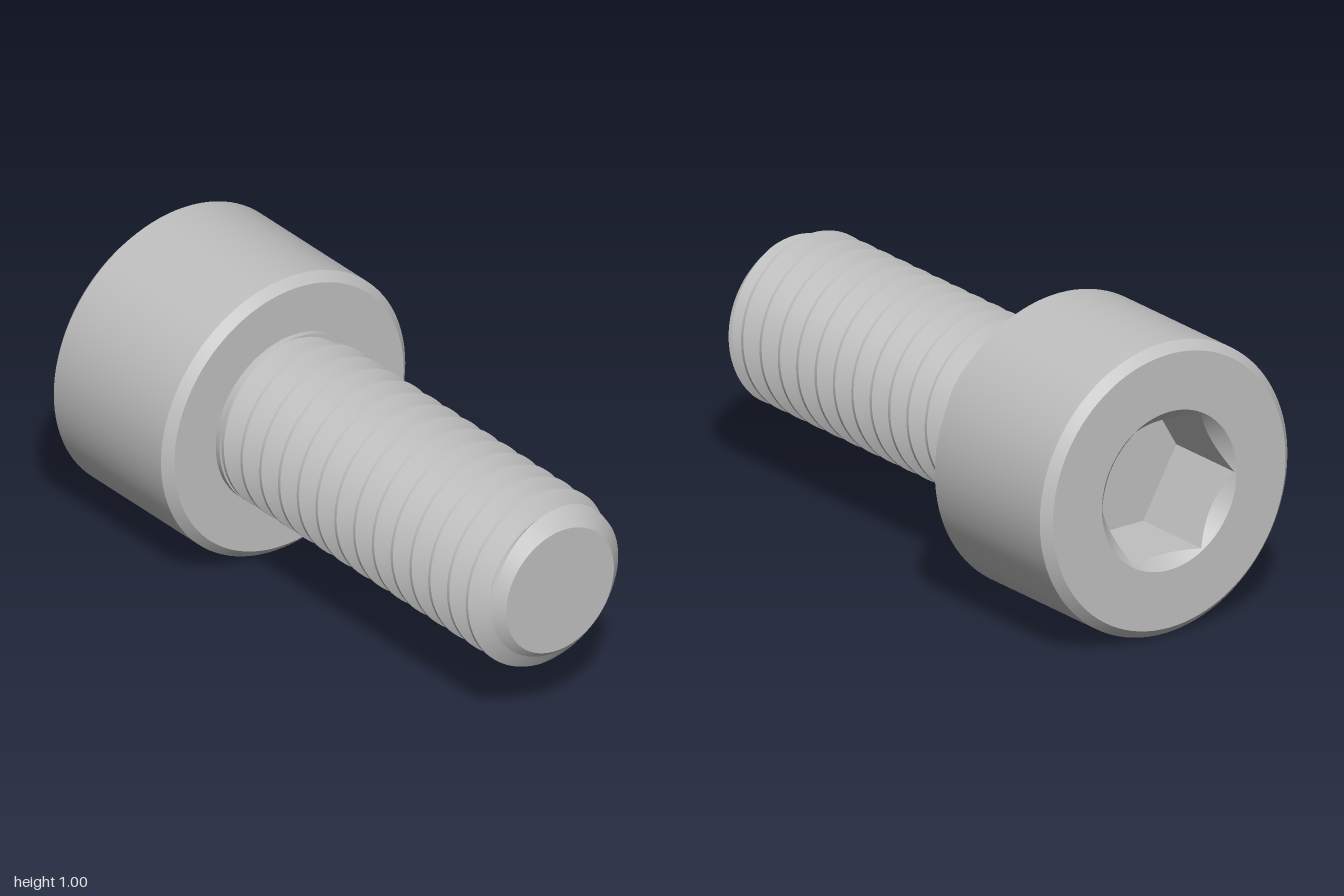
import * as THREE from 'three';
import { toCreasedNormals } from 'three/addons/utils/BufferGeometryUtils.js';

const SEG = 96;
const steel = new THREE.MeshStandardMaterial({ color: 0xc0c0c0 });
steel.name = 'steel grey';

// Skin wrapped round the z axis: at(angle, row) returns [radius, z]
function wrap(name, rows, at) {
  const pos = [];
  const point = (i, j) => {
    const a = (i / SEG) * Math.PI * 2;
    const [r, z] = at(a, j);
    return new THREE.Vector3(r * Math.cos(a), r * Math.sin(a), z);
  };
  const tri = new THREE.Triangle();
  const add = (a, b, c) => {
    if (tri.set(a, b, c).getArea() < 1e-9) return; // skip collapsed corners
    for (const v of [a, b, c]) pos.push(v.x, v.y, v.z);
  };
  for (let j = 0; j < rows - 1; j++) {
    for (let i = 0; i < SEG; i++) {
      const a = point(i, j), b = point(i + 1, j);
      const c = point(i + 1, j + 1), d = point(i, j + 1);
      add(a, b, c);
      add(a, c, d);
    }
  }
  const geometry = new THREE.BufferGeometry();
  geometry.setAttribute('position', new THREE.Float32BufferAttribute(pos, 3));
  const mesh = new THREE.Mesh(toCreasedNormals(geometry, 0.4), steel);
  mesh.name = name;
  return mesh;
}

// Head: chamfered cylinder, open where the socket enters
const RIM = 0.272;
function makeHead() {
  const outline = [[RIM, -1], [0.47, -1], [0.5, -0.97], [0.5, -0.42], [0.47, -0.39], [0, -0.39]];
  return wrap('head', outline.length, (a, j) => outline[j]);
}

// Hex socket with a conical lead-in and a flat floor
function makeSocket() {
  const apothem = 0.231, floor = -0.69;
  return wrap('hexSocket', 4, (a, j) => {
    const sector = Math.PI / 3;
    const fromFlat = (((a % sector) + sector) % sector) - sector / 2;
    const r = apothem / Math.cos(fromFlat);
    return [[0, floor], [r, floor], [r, -1 + (RIM - r)], [RIM, -1]][j];
  });
}

// Right-hand thread, trimmed by a conical tip
const PITCH = 0.0963, CREST = 0.3, ROOT = 0.237, START = -0.37, END = 1, CREST_Z = 0.85;
function threadRadius(a, z) {
  const turns = (z - CREST_Z) / PITCH - a / (Math.PI * 2);
  const away = Math.abs(turns - Math.round(turns)); // 0 on crest, 0.5 in root
  const t = THREE.MathUtils.clamp((away - 0.0625) / 0.375, 0, 1);
  return Math.min(CREST + (ROOT - CREST) * t, 0.22 + 1.1 * (END - z));
}
function makeThread() {
  const steps = [-0.0625, 0.0625, 0.1875, 0.3125, 0.4375, 0.5625, 0.6875, 0.8125];
  const firstTurn = -15, turns = 18;
  return wrap('thread', steps.length * turns, (a, j) => {
    const turn = firstTurn + Math.floor(j / steps.length) + steps[j % steps.length];
    const z = THREE.MathUtils.clamp(CREST_Z + PITCH * (turn + a / (Math.PI * 2)), START, END);
    return [threadRadius(a, z), z];
  });
}

export function createModel() {
  const model = new THREE.Group();
  model.name = 'socketHeadScrew';
  // Plain neck under the head and flat tip of the shank
  const neck = wrap('neck', 4, (a, j) => [[0, -0.39], [CREST, -0.39], [CREST, START], [0, START]][j]);
  const tip = wrap('tip', 2, (a, j) => [[0.22, END], [0, END]][j]);
  model.add(makeHead(), makeSocket(), neck, makeThread(), tip);
  for (const part of model.children) part.position.y = 0.5;
  return model;
}
